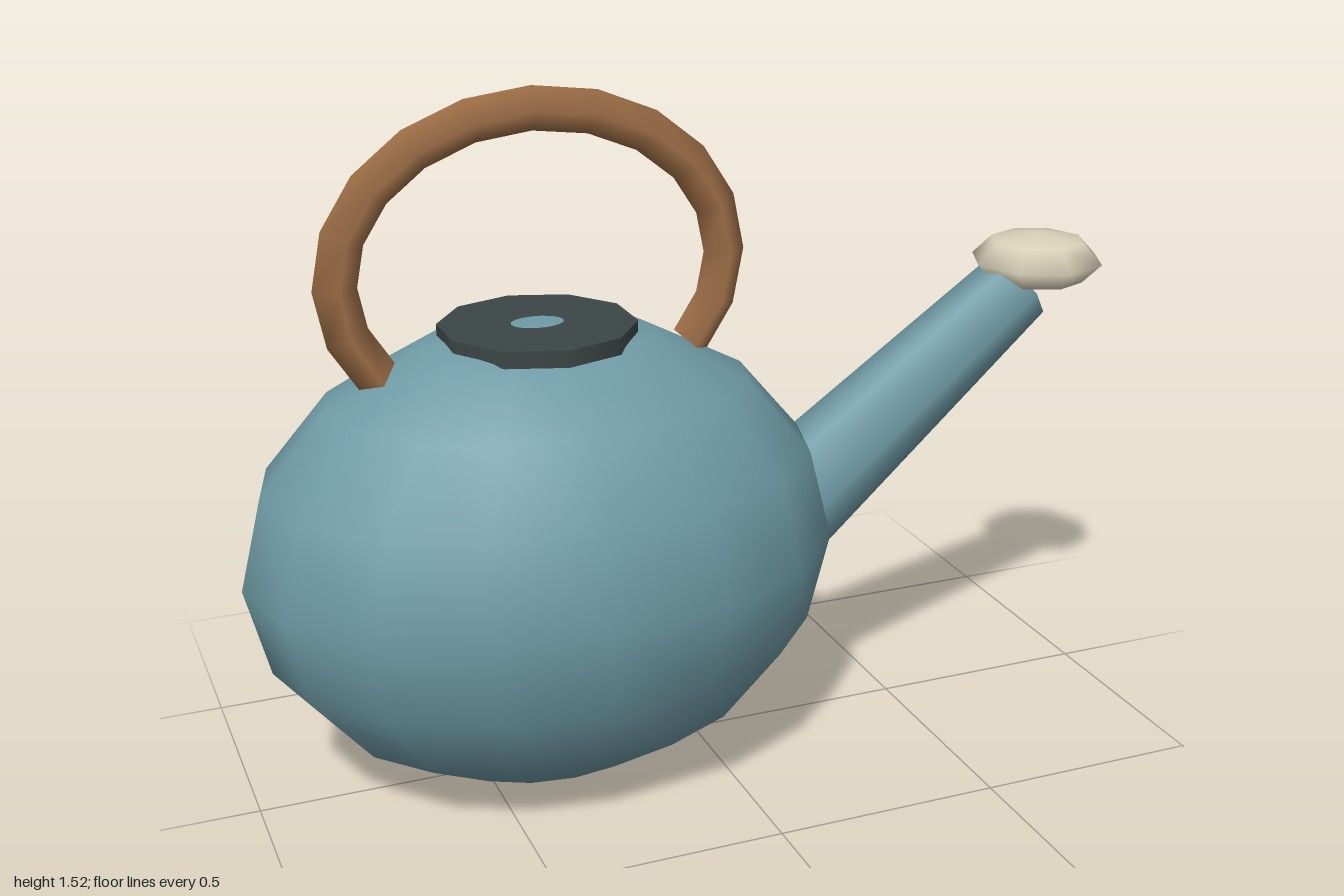
import * as THREE from 'three';

const material = (color, side = THREE.FrontSide) => new THREE.MeshStandardMaterial({ color, side });

// Elliptical arch stepped by equal angles, dipping below its centre at both ends
class ArchCurve extends THREE.Curve {
  constructor(rx, ry, dip) {
    super();
    Object.assign(this, { rx, ry, dip });
  }
  getPoint(t, target = new THREE.Vector3()) {
    const a = -this.dip + t * (Math.PI + 2 * this.dip);
    return target.set(this.rx * Math.cos(a), this.ry * Math.sin(a), 0);
  }
  getPointAt(t, target) { return this.getPoint(t, target); }
  getTangentAt(t, target) { return this.getTangent(t, target); }
}

export function createModel() {
  const model = new THREE.Group();
  model.name = 'wateringCan';

  const add = (name, geometry, mat, x, y) => {
    const mesh = new THREE.Mesh(geometry, mat);
    mesh.name = name;
    mesh.position.set(x, y, 0);
    model.add(mesh);
    return mesh;
  };

  const paint = material(0x6f9ba6);
  const cx = -0.35;

  // Egg-shaped tank
  add('body', new THREE.SphereGeometry(1, 16, 8), paint, cx, 0.52).scale.set(0.65, 0.515, 0.48);

  // Flat collar on top, with the crown of the tank just showing through
  add('lid', new THREE.CylinderGeometry(0.21, 0.21, 0.036, 10), material(0x3c4646), cx, 1.008);

  // Carrying handle
  const arch = new ArchCurve(0.42, 0.335, Math.PI / 5);
  add('handle', new THREE.TubeGeometry(arch, 14, 0.046, 4), material(0xa07048, THREE.DoubleSide), cx, 1.14);

  // Tapered six-sided spout
  const base = new THREE.Vector2(0.205, 0.513);
  const tip = new THREE.Vector2(0.8, 0.985);
  const axis = tip.clone().sub(base);
  const spout = add('spout', new THREE.CylinderGeometry(0.088, 0.13, axis.length(), 6), paint,
    (base.x + tip.x) / 2, (base.y + tip.y) / 2);
  spout.rotation.z = axis.angle() - Math.PI / 2;

  // Flattened sprinkler head
  add('sprinklerHead', new THREE.SphereGeometry(1, 8, 4), material(0xd9d0b8), 0.848, 1.04)
    .scale.set(0.152, 0.065, 0.15);

  return model;
}
